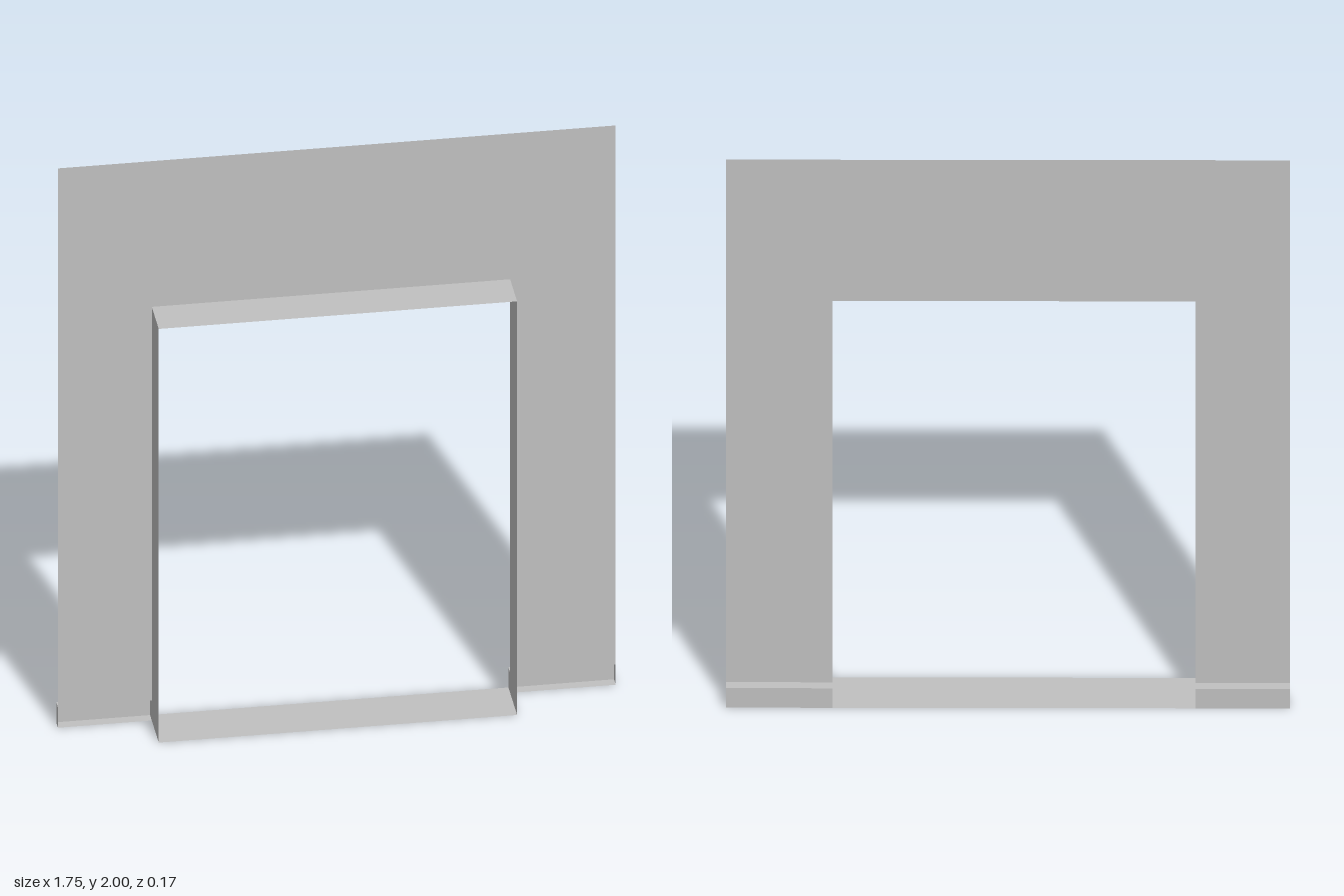
import * as THREE from 'three';

const HALF = 0.877, TOP = 2;             // wall sheet extents
const L = -0.582, R = 0.545, HEAD = 1.479; // door opening
const SKIRT = 0.072;                     // skirting height
const BACK = -0.0875, WALL = -0.053, FRONT = 0.0875;

export function createModel() {
  const model = new THREE.Group();
  model.name = 'doorwayWall';
  const plaster = new THREE.MeshStandardMaterial({ color: 0xc0c0c0, side: THREE.DoubleSide });
  plaster.name = 'greyPlaster';

  // thin sheets, one helper for each facing axis
  function sheet(parent, name, w, h, x, y, z, rx = 0, ry = 0) {
    const mesh = new THREE.Mesh(new THREE.PlaneGeometry(w, h), plaster);
    mesh.name = name;
    mesh.position.set(x, y, z);
    mesh.rotation.set(rx, ry, 0);
    parent.add(mesh);
  }
  const facingZ = (p, n, x0, x1, y0, y1, z) =>
    sheet(p, n, x1 - x0, y1 - y0, (x0 + x1) / 2, (y0 + y1) / 2, z, 0, z === BACK ? Math.PI : 0);
  const facingX = (p, n, x, y0, y1, z0, z1, s) =>
    sheet(p, n, z1 - z0, y1 - y0, x, (y0 + y1) / 2, (z0 + z1) / 2, 0, s * Math.PI / 2);
  const facingY = (p, n, x0, x1, y, z0, z1, s) =>
    sheet(p, n, x1 - x0, z1 - z0, (x0 + x1) / 2, y, (z0 + z1) / 2, -s * Math.PI / 2);

  // wall sheet around the opening, stopping at the skirting top
  const outline = new THREE.Shape([
    [-HALF, SKIRT], [L, SKIRT], [L, HEAD], [R, HEAD],
    [R, SKIRT], [HALF, SKIRT], [HALF, TOP], [-HALF, TOP],
  ].map(([x, y]) => new THREE.Vector2(x, y)));
  const wall = new THREE.Mesh(new THREE.ShapeGeometry(outline), plaster);
  wall.name = 'wall';
  wall.position.z = WALL;
  wall.geometry.rotateY(0);
  model.add(wall);

  // reveal lining the opening
  const reveal = new THREE.Group();
  reveal.name = 'doorReveal';
  model.add(reveal);
  facingX(reveal, 'rightJamb', L, 0, HEAD, WALL, FRONT, 1);
  facingX(reveal, 'leftJamb', R, 0, HEAD, WALL, FRONT, -1);
  facingY(reveal, 'lintel', L, R, HEAD, WALL, FRONT, -1);
  facingY(reveal, 'threshold', L, R, 0, BACK, FRONT, 1);

  // hollow skirting boards, open towards the front
  for (const [name, x0, x1] of [['rightSkirting', -HALF, L], ['leftSkirting', R, HALF]]) {
    const board = new THREE.Group();
    board.name = name;
    model.add(board);
    facingZ(board, 'skirtingFace', x0, x1, 0, SKIRT, BACK);
    facingY(board, 'skirtingTop', x0, x1, SKIRT, BACK, WALL, 1);
    facingY(board, 'skirtingBase', x0, x1, 0, BACK, WALL, -1);
    facingX(board, 'skirtingEndA', x0, 0, SKIRT, BACK, WALL, -1);
    facingX(board, 'skirtingEndB', x1, 0, SKIRT, BACK, WALL, 1);
  }
  return model;
}
